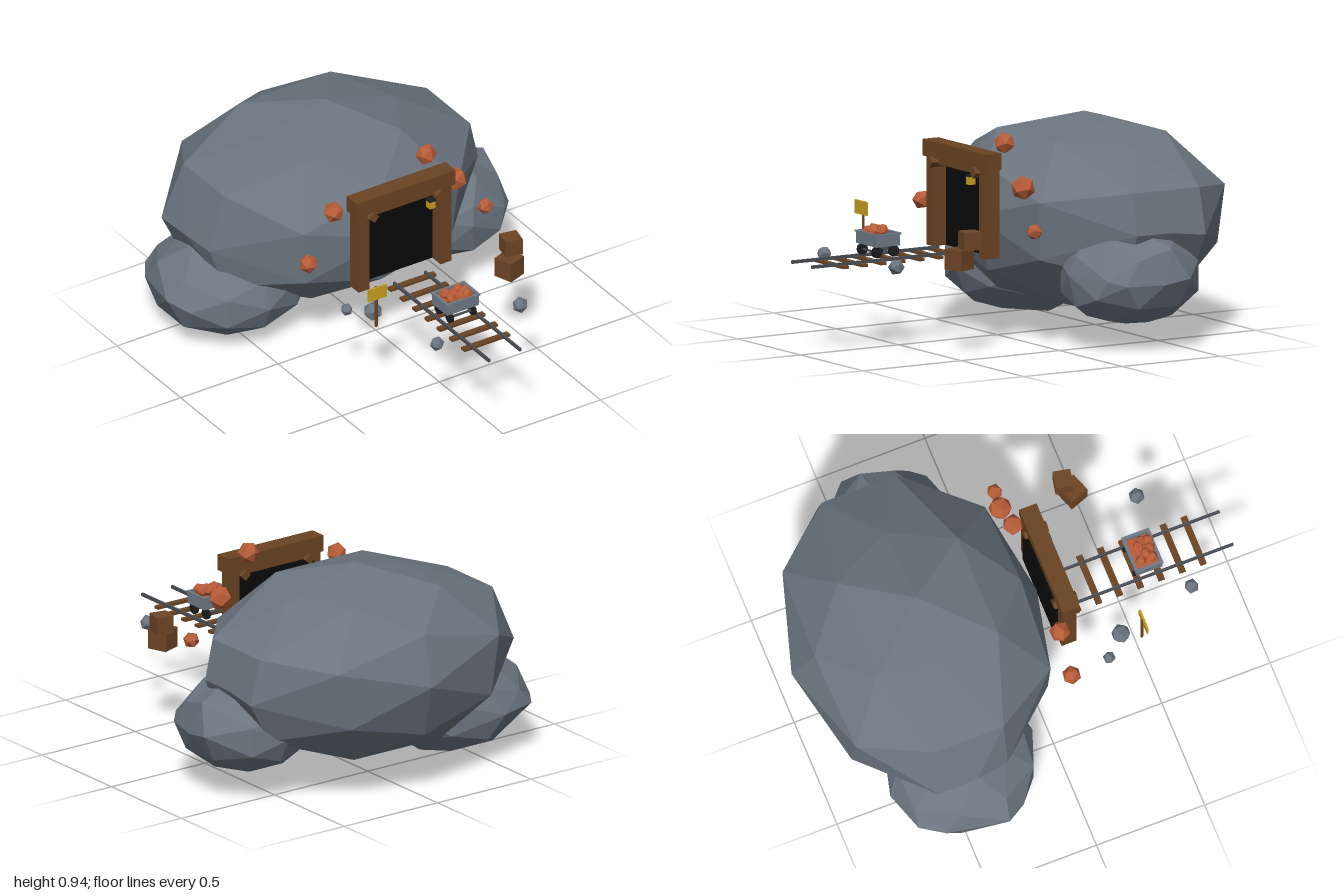
import * as THREE from 'three';

const mat = (name, color) => {
  const m = new THREE.MeshStandardMaterial({ color, flatShading: true });
  m.name = name;
  return m;
};

export function createModel() {
  const rock = mat('rock grey', 0x6b7580);
  const wood = mat('timber brown', 0x6b4423);
  const crateWood = mat('crate brown', 0x6e4526);
  const ore = mat('copper ore', 0xb85c38);
  const dark = mat('tunnel black', 0x0a0a0a);
  const steel = mat('rail steel', 0x4a4e54);
  const cartMetal = mat('cart metal', 0x707b86);
  const wheelBlack = mat('wheel black', 0x1c1c1e);
  const yellow = mat('sign yellow', 0xc9a21f);

  const root = new THREE.Group();
  root.name = 'mineEntrance';
  const GROUND = 0.38;
  const CX = 0.01; // centre line of portal and track

  const add = (parent, name, geo, material, x, y, z) => {
    const m = new THREE.Mesh(geo, material);
    m.name = name;
    m.position.set(x, y, z);
    parent.add(m);
    return m;
  };
  const box = (parent, name, material, w, h, d, x, y, z) =>
    add(parent, name, new THREE.BoxGeometry(w, h, d), material, x, y, z);
  const group = (name) => {
    const g = new THREE.Group();
    g.name = name;
    root.add(g);
    return g;
  };

  // Faceted boulder: scaled icosphere whose nearest corners are pulled to the pins
  const boulder = (name, c, r, pins) => {
    const geo = new THREE.IcosahedronGeometry(1, 1);
    geo.scale(...r).translate(...c);
    const p = geo.attributes.position;
    const base = [];
    for (let i = 0; i < p.count; i++) base.push(new THREE.Vector3().fromBufferAttribute(p, i));
    for (const pin of pins) {
      const t = new THREE.Vector3(...pin);
      const near = base.reduce((a, b) => (b.distanceTo(t) < a.distanceTo(t) ? b : a));
      base.forEach((v, i) => { if (v.distanceTo(near) < 1e-4) p.setXYZ(i, ...pin); });
    }
    geo.computeVertexNormals();
    add(root, name, geo, rock, 0, 0, 0);
  };
  boulder('mainBoulder', [0, 0.51, -0.43], [0.75, 0.43, 0.56], [
    [0.02, 0.94, -0.43], [-0.29, 0.86, -0.42], [0.38, 0.83, -0.43], [0, 0.08, -0.43],
    [0.70, 0.5, -0.43], [-0.70, 0.5, -0.43],
    [0.71, 0.48, -0.61], [0.70, 0.5, -0.27], [-0.70, 0.49, -0.61], [-0.67, 0.48, -0.28],
    [0.03, 0.53, -1.0], [0, 0.53, 0.12], [0.66, 0.68, -0.61], [0.66, 0.68, -0.27],
    [-0.60, 0.74, -0.59], [-0.60, 0.74, -0.27], [0.44, 0.64, -0.88], [-0.42, 0.64, -0.88],
    [0.40, 0.63, 0.04], [-0.39, 0.63, 0.03], [0.32, 0.15, -0.43], [-0.22, 0.13, -0.43],
  ]);
  boulder('leftBoulder', [0.54, 0.30, -0.33], [0.29, 0.21, 0.32], [
    [0.64, 0.50, -0.34], [0.51, 0.09, -0.33], [0.84, 0.32, -0.45], [0.80, 0.45, -0.38],
    [0.52, 0.33, -0.03], [0.73, 0.32, -0.1],
  ]);
  boulder('rightBoulder', [-0.48, 0.22, -0.43], [0.36, 0.22, 0.34], [
    [-0.48, 0.0, -0.5], [-0.65, 0.44, -0.43], [-0.85, 0.26, -0.34], [-0.54, 0.22, -0.77],
    [-0.72, 0.22, -0.71], [-0.31, 0.02, -0.46], [-0.68, 0.03, -0.46],
  ]);

  // Timber portal with black opening
  const portal = group('portal');
  box(portal, 'tunnelOpening', dark, 0.39, 0.37, 0.014, CX, 0.565, 0.143);
  for (const s of [-1, 1]) {
    box(portal, 'post', wood, 0.055, 0.39, 0.07, CX + s * 0.21, 0.575, 0.18);
    const brace = box(portal, 'brace', wood, 0.035, 0.035, 0.11, CX + s * 0.172, 0.75, 0.185);
    brace.rotation.z = Math.PI / 4;
  }
  box(portal, 'topBeam', wood, 0.508, 0.072, 0.08, CX, 0.802, 0.184);
  box(portal, 'lintel', wood, 0.4, 0.027, 0.055, CX, 0.753, 0.18);

  // Hanging lantern
  const lantern = group('lantern');
  box(lantern, 'lanternGlass', yellow, 0.03, 0.035, 0.03, 0.138, 0.71, 0.222);
  box(lantern, 'lanternCap', wheelBlack, 0.034, 0.008, 0.034, 0.138, 0.731, 0.222);

  // Rails and sleepers
  const track = group('track');
  for (const s of [-1, 1]) box(track, 'rail', steel, 0.01, 0.014, 0.75, CX + s * 0.08, 0.394, 0.625);
  for (let i = 0; i < 7; i++)
    box(track, 'sleeper', wood, 0.234, 0.012, 0.028, CX, 0.384, 0.27 + i * 0.0965);

  // Loose faceted stones
  const stone = (parent, name, material, r, x, y, z, i) => {
    const m = add(parent, name, new THREE.IcosahedronGeometry(r, 0), material, x, y, z);
    m.rotation.set(i * 1.3 + 0.4, i * 2.1, i * 0.7);
  };

  // Mine cart: open hopper, four wheels and an ore load
  const cart = group('mineCart');
  const CZ = 0.612;
  box(cart, 'hopperFloor', cartMetal, 0.15, 0.01, 0.105, CX, 0.453, CZ);
  for (const s of [-1, 1]) {
    box(cart, 'hopperSide', cartMetal, 0.009, 0.055, 0.12, CX + s * 0.077, 0.477, CZ);
    box(cart, 'hopperEnd', cartMetal, 0.16, 0.055, 0.009, CX, 0.477, CZ + s * 0.0555);
    box(cart, 'rimSide', cartMetal, 0.012, 0.008, 0.126, CX + s * 0.08, 0.502, CZ);
    box(cart, 'rimEnd', cartMetal, 0.172, 0.008, 0.012, CX, 0.502, CZ + s * 0.058);
    for (const t of [-1, 1]) {
      const wheel = add(cart, 'wheel', new THREE.CylinderGeometry(0.025, 0.025, 0.014, 10),
        wheelBlack, CX + t * 0.058, 0.425, CZ + s * 0.043);
      wheel.rotation.z = Math.PI / 2;
    }
    box(cart, 'axle', steel, 0.11, 0.008, 0.008, CX, 0.425, CZ + s * 0.043);
  }
  box(cart, 'oreBed', ore, 0.14, 0.03, 0.1, CX, 0.473, CZ);
  [[-0.03, 0.505, 0.59], [0.03, 0.515, 0.60], [-0.01, 0.515, 0.62], [0.05, 0.51, 0.62],
    [-0.03, 0.505, 0.64], [0.045, 0.51, 0.65], [0.01, 0.505, 0.645]]
    .forEach((q, i) => stone(cart, 'cartOre', ore, 0.026, ...q, i));

  // Ore lumps round the portal
  const lumps = group('oreLumps');
  [[0.048, 0.2, 0.87, 0.09], [0.047, -0.29, 0.757, 0.112], [0.054, 0.35, 0.695, 0.09],
    [0.042, -0.42, 0.54, 0.115], [0.036, 0.485, 0.525, 0.118]]
    .forEach((q, i) => stone(lumps, 'oreLump', ore, ...q, i + 1));

  // Grey rubble beside the track
  const rubble = group('rubble');
  [[0.028, -0.355, 0.392, 0.315], [0.044, -0.275, 0.402, 0.4], [0.036, 0.287, 0.395, 0.695],
    [0.033, -0.183, 0.395, 0.763]]
    .forEach((q, i) => stone(rubble, 'rubbleStone', rock, ...q, i + 2));

  // Sign
  const sign = group('sign');
  add(sign, 'signPost', new THREE.CylinderGeometry(0.007, 0.007, 0.2, 6), wood, -0.312, GROUND + 0.1, 0.482);
  box(sign, 'signBoard', yellow, 0.094, 0.06, 0.009, -0.312, 0.553, 0.491);

  // Stacked crates
  const crates = group('crates');
  box(crates, 'lowerCrate', crateWood, 0.09, 0.09, 0.09, 0.395, GROUND + 0.043, 0.443).rotation.y = 0.35;
  box(crates, 'upperCrate', crateWood, 0.078, 0.078, 0.078, 0.426, 0.506, 0.41).rotation.y = -0.2;

  return root;
}
